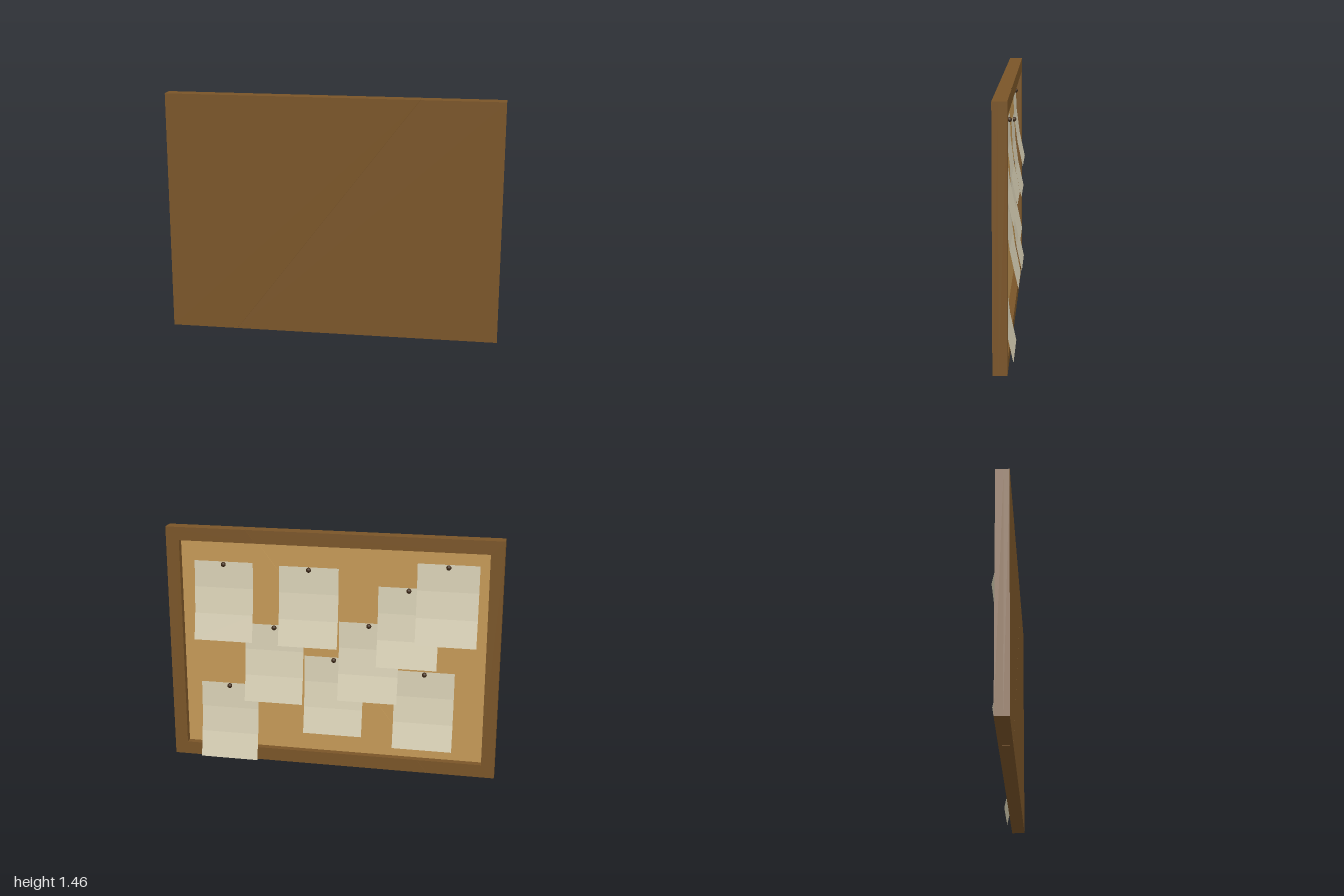
import * as THREE from 'three';

const H = 1.46, RIM = 0.08, GAP = 0.001;
const Z_FRONT = 0.052, Z_BACK = -0.028, Z_CORK = 0.013;

const wood = new THREE.MeshStandardMaterial({ color: 0x7a5528 });
const cork = new THREE.MeshStandardMaterial({ color: 0xc69a57 });
const paper = new THREE.MeshStandardMaterial({ color: 0xd8d0b5, side: THREE.DoubleSide, flatShading: true });
const pinDark = new THREE.MeshStandardMaterial({ color: 0x3f2a17 });

// x of the diagonal crack at height y
const crackX = (y) => -0.593 + (1.104 * y) / H;

// Flat outline extruded between two depths
function slab(name, points, z0, z1, material) {
  const shape = new THREE.Shape(points.map(([x, y]) => new THREE.Vector2(x, y)));
  const geometry = new THREE.ExtrudeGeometry(shape, { depth: z1 - z0, bevelEnabled: false });
  geometry.translate(0, 0, z0);
  const mesh = new THREE.Mesh(geometry, material);
  mesh.name = name;
  return mesh;
}

// One half of the board, on the side (-1 or 1) of the crack
function boardHalf(side) {
  const half = new THREE.Group();
  half.name = side > 0 ? 'boardHalfLeft' : 'boardHalfRight';
  const cut = (y) => [crackX(y) + side * GAP, y];
  const lo = RIM, hi = H - RIM, inX = side * (1 - RIM);
  const outer = [cut(0), [side, 0], [side, H], cut(H)];
  const inner = [cut(lo), [inX, lo], [inX, hi], cut(hi)];
  const seam = Z_CORK + 0.006;
  half.add(
    slab('backing', outer, seam, Z_FRONT, wood),
    slab('frame', [...outer, ...inner.slice().reverse()], Z_BACK, seam, wood),
    slab('corkSheet', inner, Z_CORK, seam, cork)
  );
  return half;
}

// Paper sheet curling away from the cork towards its lower edge
const W = 0.36, L = 0.48;
const sheetGeometry = new THREE.PlaneGeometry(W, L, 1, 3);
sheetGeometry.rotateY(Math.PI);
const pos = sheetGeometry.attributes.position;
for (let i = 0; i < pos.count; i++) {
  const t = 0.5 - pos.getY(i) / L;
  pos.setZ(i, 0.01 - 0.062 * t * t);
}
sheetGeometry.computeVertexNormals();
const pinGeometry = new THREE.SphereGeometry(0.015, 12, 8);

function note(x, bottom) {
  const group = new THREE.Group();
  group.name = 'note';
  const sheet = new THREE.Mesh(sheetGeometry, paper);
  sheet.name = 'paperSheet';
  const pin = new THREE.Mesh(pinGeometry, pinDark);
  pin.name = 'pin';
  pin.position.set(0, L / 2 - 0.016, 0.003);
  group.add(sheet, pin);
  group.position.set(x, bottom + L / 2, 0);
  return group;
}

export function createModel() {
  const model = new THREE.Group();
  model.name = 'crackedNoticeBoard';
  model.add(boardHalf(-1), boardHalf(1));

  // Pinned notes: centre x, bottom y
  const notes = [
    [0.66, 0.773], [0.14, 0.764], [0.355, 0.395], [0.643, 0.002], [-0.011, 0.212],
    [-0.223, 0.44], [-0.456, 0.669], [-0.683, 0.82], [-0.56, 0.157],
  ];
  for (const [x, y] of notes) model.add(note(x, y));
  return model;
}
